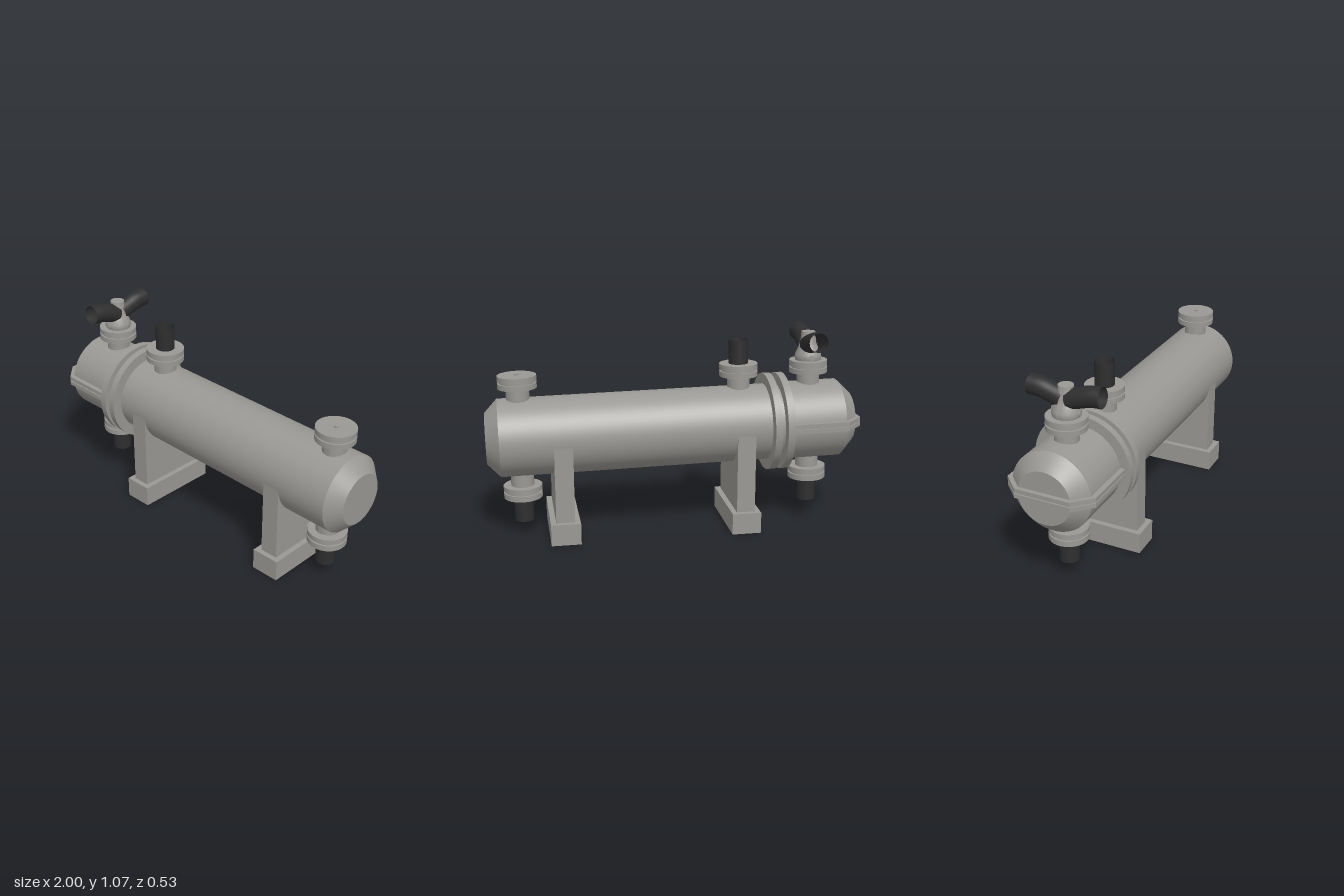
import * as THREE from 'three';
import { toCreasedNormals } from 'three/addons/utils/BufferGeometryUtils.js';

export function createModel() {
  const steel = new THREE.MeshStandardMaterial({ color: 0x9a9894 });
  steel.name = 'grey steel';
  const rubber = new THREE.MeshStandardMaterial({ color: 0x2e2e2e, side: THREE.DoubleSide });
  rubber.name = 'black hose';

  const model = new THREE.Group();
  model.name = 'heatExchanger';

  const add = (parent, name, geometry, material = steel) => {
    const mesh = new THREE.Mesh(geometry, material);
    mesh.name = name;
    parent.add(mesh);
    return mesh;
  };
  // Revolved profile of [radius, height] pairs with crisp edges
  const turned = (profile, sides = 48) => toCreasedNormals(
    new THREE.LatheGeometry(profile.map(([r, h]) => new THREE.Vector2(r, h)), sides), 0.5);
  const alongX = (profile) => turned(profile, 64).rotateZ(-Math.PI / 2);

  // Vessel assembly slopes gently down towards +x
  const vessel = new THREE.Group();
  vessel.name = 'vessel';
  vessel.position.y = 0.549;
  vessel.rotation.z = -0.0175;
  model.add(vessel);

  add(vessel, 'shell', alongX([[0, -0.6], [0.206, -0.6], [0.206, 0.925], [0.135, 0.993], [0, 0.993]]));
  add(vessel, 'channelHead', alongX([[0, -0.977], [0.14, -0.977], [0.211, -0.905], [0.211, -0.59], [0, -0.59]]));
  for (const x of [-0.588, -0.52]) {
    add(vessel, 'bodyFlange',
      alongX([[0, x - 0.019], [0.263, x - 0.019], [0.263, x + 0.019], [0, x + 0.019]]));
  }

  // Split horizontal rim around the channel head
  const rimShape = (inset) => new THREE.Shape([
    [-0.6, -0.235 + inset], [-0.6, 0.235 - inset], [-0.91, 0.235 - inset],
    [-1 + inset, 0.145], [-1 + inset, -0.145], [-0.91, -0.235 + inset],
  ].map(([x, z]) => new THREE.Vector2(x, z)));
  for (const [name, y, depth, inset] of [
    ['lowerRim', -0.02, 0.022, 0], ['rimGasket', 0.001, 0.008, 0.008], ['upperRim', 0.008, 0.022, 0],
  ]) {
    const plate = new THREE.ExtrudeGeometry(rimShape(inset), { depth, bevelEnabled: false });
    add(vessel, name, plate.rotateX(-Math.PI / 2).translate(0, y, 0));
  }

  // Flanged nozzles, some with an open hose stub
  const nozzles = [
    ['inletNozzle', -0.748, 1, false], ['headDrain', -0.748, -1, true],
    ['ventNozzle', -0.36, 1, true],
    ['blindNozzle', 0.815, 1, false], ['shellDrain', 0.815, -1, true],
  ];
  for (const [name, x, dir, hose] of nozzles) {
    const nozzle = new THREE.Group();
    nozzle.name = name;
    nozzle.position.x = x;
    if (dir < 0) nozzle.rotation.x = Math.PI;
    vessel.add(nozzle);
    add(nozzle, 'neckAndFlanges', turned([
      [0.061, 0.15], [0.061, 0.264], [0.102, 0.264], [0.102, 0.292], [0.092, 0.292],
      [0.092, 0.301], [0.102, 0.301], [0.102, 0.331], [0, 0.331],
    ]));
    add(nozzle, 'centrePin', turned([[0.012, 0.33], [0.012, 0.339], [0, 0.342]], 16));
    if (hose) {
      add(nozzle, 'hose',
        new THREE.CylinderGeometry(0.051, 0.051, 0.13, 32, 1, true).translate(0, 0.394, 0), rubber);
    }
  }

  // Tapered tee with two hoses curving out to the front and back
  const tee = new THREE.Group();
  tee.name = 'tee';
  tee.position.x = -0.746;
  vessel.add(tee);
  add(tee, 'teeBody', turned([
    [0.068, 0.33], [0.072, 0.345], [0.07, 0.362], [0.056, 0.392], [0.042, 0.425], [0.037, 0.485], [0, 0.485],
  ]));
  add(tee, 'teePlug', new THREE.CylinderGeometry(0.014, 0.014, 0.15, 16)
    .rotateX(Math.PI / 2).translate(0, 0.35, 0));
  for (const side of [1, -1]) {
    const path = new THREE.CatmullRomCurve3([
      [0.015, 0.415], [0.07, 0.432], [0.13, 0.449], [0.189, 0.454],
    ].map(([z, y]) => new THREE.Vector3(0, y, side * z)));
    add(tee, 'branchHose', new THREE.TubeGeometry(path, 20, 0.051, 32), rubber);
  }

  // Upright saddles and feet
  for (const x of [-0.361, 0.602]) {
    const support = new THREE.Group();
    support.name = 'support';
    support.position.x = x;
    model.add(support);
    add(support, 'saddle', new THREE.BoxGeometry(0.098, 0.43, 0.41).translate(0, 0.32, 0));
    add(support, 'foot', new THREE.BoxGeometry(0.156, 0.114, 0.466).translate(0, 0.057, 0));
  }
  return model;
}
